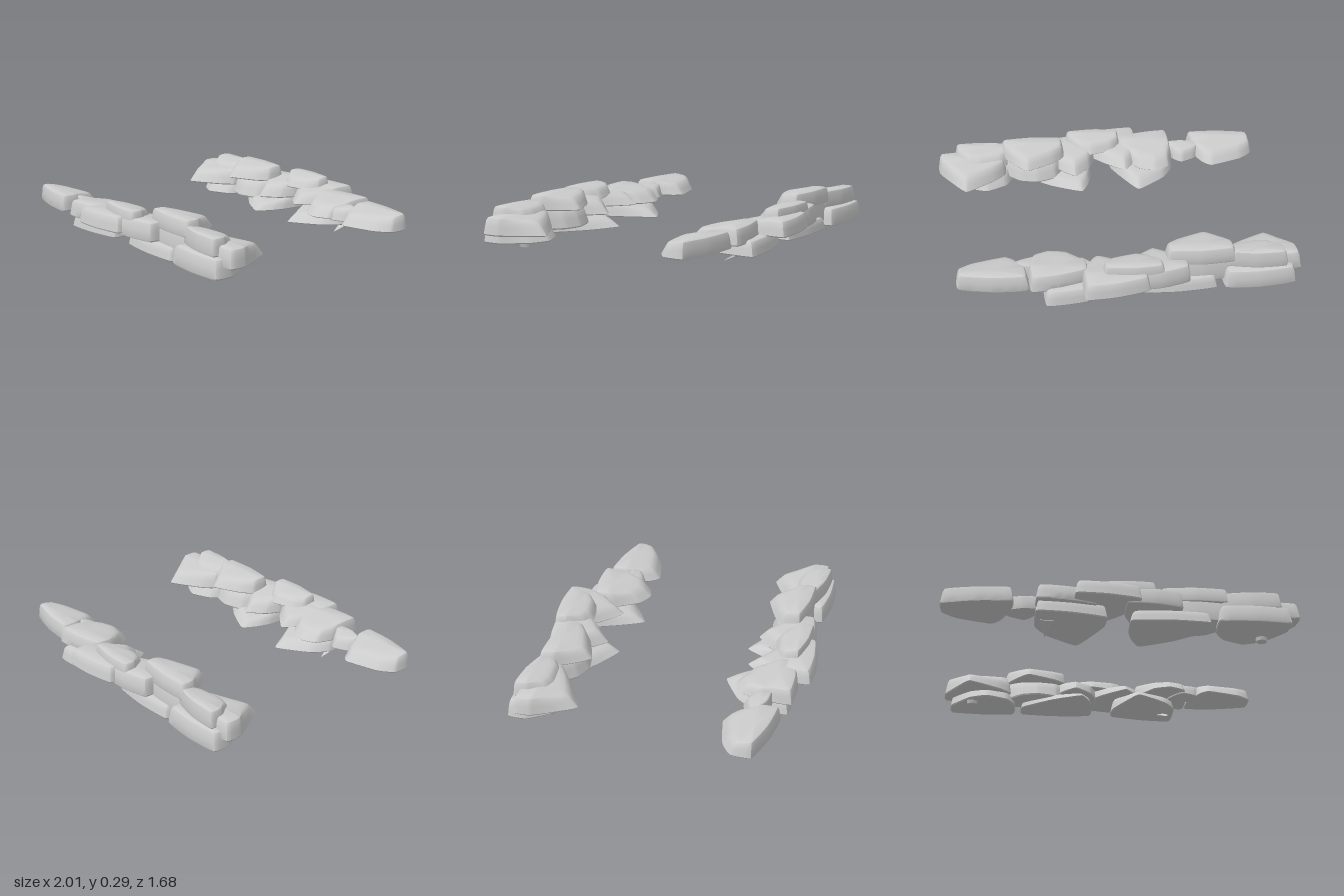
import * as THREE from 'three';
import { toCreasedNormals } from 'three/addons/utils/BufferGeometryUtils.js';

const stone = new THREE.MeshStandardMaterial({ color: 0xcccccc });

// Rocks of one row: name, then bottom y, top y, left x, right x,
// outer z at left and right, inner z, and x and z of the pointed inner tip
const ROCKS = [
  ['lowEndSlab', 0.05, 0.16, 0.54, 0.94, 0.74, 0.75, 0.5, 0.72, 0.45],
  ['endSlab', 0.11, 0.22, 0.59, 1, 0.67, 0.7, 0.47, 0.85, 0.37],
  ['upperEndSlab', 0.16, 0.26, 0.56, 0.89, 0.68, 0.73, 0.54, 0.75, 0.52],
  ['tallSlab', 0.195, 0.29, 0.22, 0.6, 0.66, 0.69, 0.49, 0.46, 0.42],
  ['supportSlab', 0.08, 0.21, 0.23, 0.61, 0.67, 0.68, 0.49, 0.4, 0.46],
  ['lowMiddleSlab', 0.045, 0.12, 0.05, 0.49, 0.7, 0.72, 0.46, 0.13, 0.37],
  ['middleSlab', 0.12, 0.23, 0.02, 0.33, 0.77, 0.74, 0.51, 0.16, 0.43],
  ['topCentreSlab', 0.19, 0.27, -0.15, 0.18, 0.73, 0.76, 0.59, 0.04, 0.56],
  ['outerCentreSlab', 0.13, 0.225, -0.27, 0.09, 0.83, 0.8, 0.54, -0.16, 0.44],
  ['sideSlab', 0.12, 0.22, -0.48, -0.15, 0.77, 0.73, 0.46, -0.35, 0.42],
  ['lowSideSlab', 0.05, 0.14, -0.48, -0.09, 0.75, 0.71, 0.44, -0.23, 0.33],
  ['smallStone', 0.11, 0.195, -0.65, -0.46, 0.62, 0.66, 0.54, -0.54, 0.51],
  ['farSlab', 0.11, 0.21, -1, -0.61, 0.67, 0.74, 0.49, -0.72, 0.44],
];

// Rocks that sit a little differently in the back row: [x, z] offset
const BACK_SHIFT = {
  endSlab: [-0.02, 0],
  sideSlab: [-0.08, -0.07],
  smallStone: [0.02, -0.1],
  farSlab: [0.04, -0.07],
};

// Ring profile of a rock: [plan scale, height fraction], from underside to top
const PROFILE = [[0, 0.02], [0.75, 0], [0.97, 0.03], [1, 0.1], [0.97, 0.5], [0.94, 0.82], [0.9, 0.95], [0.82, 1], [0, 1]];
const SEGMENTS = 48;

// Plan of a rock: bowed outer edge, straight sides, shoulders and a pointed tip
function rockPlan(xL, xR, zL, zR, zIn, tipX, tipZ) {
  const { lerp } = THREE.MathUtils;
  const corners = [
    [xL, zL], [(xL + xR) / 2, (zL + zR) / 2 + 0.02], [xR, zR],
    [xR, lerp(zR, zIn, 0.45)], [lerp(xR, tipX, 0.5), zIn],
    [tipX, tipZ],
    [lerp(xL, tipX, 0.3), zIn], [xL, lerp(zL, zIn, 0.65)],
  ].map(([x, z]) => new THREE.Vector3(x, 0, z));
  const curve = new THREE.CatmullRomCurve3(corners, true, 'catmullrom', 0.2);
  return Array.from({ length: SEGMENTS }, (_, i) => curve.getPoint(i / SEGMENTS));
}

function rockGeometry(y0, y1, plan) {
  const box = new THREE.Box3().setFromPoints(plan);
  const cx = (box.min.x + box.max.x) / 2;
  const cz = box.min.z * 0.33 + box.max.z * 0.67;
  const positions = [], index = [];
  PROFILE.forEach(([scale, rise], r) => {
    plan.forEach((p, i) => {
      // The inner side draws in faster, so the top slopes down to a thin tip
      const dz = p.z - cz;
      const power = rise > 0.1 ? (dz < 0 ? 4.5 : 1.7) : 1;
      const drop = dz < 0 ? -0.1 * dz * scale * rise : 0;
      positions.push(
        cx + (p.x - cx) * scale,
        y0 + (y1 - y0) * rise - drop,
        cz + dz * Math.pow(scale, power));
      if (r < PROFILE.length - 1) {
        const a = r * SEGMENTS + i, b = r * SEGMENTS + (i + 1) % SEGMENTS;
        index.push(a, b, b + SEGMENTS, a, b + SEGMENTS, a + SEGMENTS);
      }
    });
  });
  const geometry = new THREE.BufferGeometry();
  geometry.setAttribute('position', new THREE.Float32BufferAttribute(positions, 3));
  geometry.setIndex(index);
  return toCreasedNormals(geometry, 0.6);
}

function addMesh(parent, name, geometry) {
  const mesh = new THREE.Mesh(geometry, stone);
  mesh.name = name;
  parent.add(mesh);
  return mesh;
}

function rockRow(name, isBack) {
  const row = new THREE.Group();
  row.name = name;
  for (const [part, y0, y1, ...plan] of ROCKS) {
    const rock = addMesh(row, part, rockGeometry(y0, y1, rockPlan(...plan)));
    const shift = isBack && BACK_SHIFT[part];
    if (shift) rock.position.set(shift[0], 0, shift[1]);
  }

  // Thin splinter hanging under the low side slab
  const splinter = addMesh(row, 'splinter', new THREE.ConeGeometry(0.045, 0.13, 6).scale(1, 1, 0.3));
  splinter.rotation.x = -Math.PI / 2 - 0.45;
  splinter.position.set(-0.42, 0.028, 0.59);

  // Small chip under the low end slab
  const chip = addMesh(row, 'chip', new THREE.CylinderGeometry(0.04, 0.032, 0.03, 6));
  chip.position.set(0.81, 0.045, 0.55);

  if (isBack) row.rotation.y = Math.PI;
  return row;
}

export function createModel() {
  const model = new THREE.Group();
  model.name = 'rockRows';
  model.add(rockRow('frontRow', false), rockRow('backRow', true));
  return model;
}
